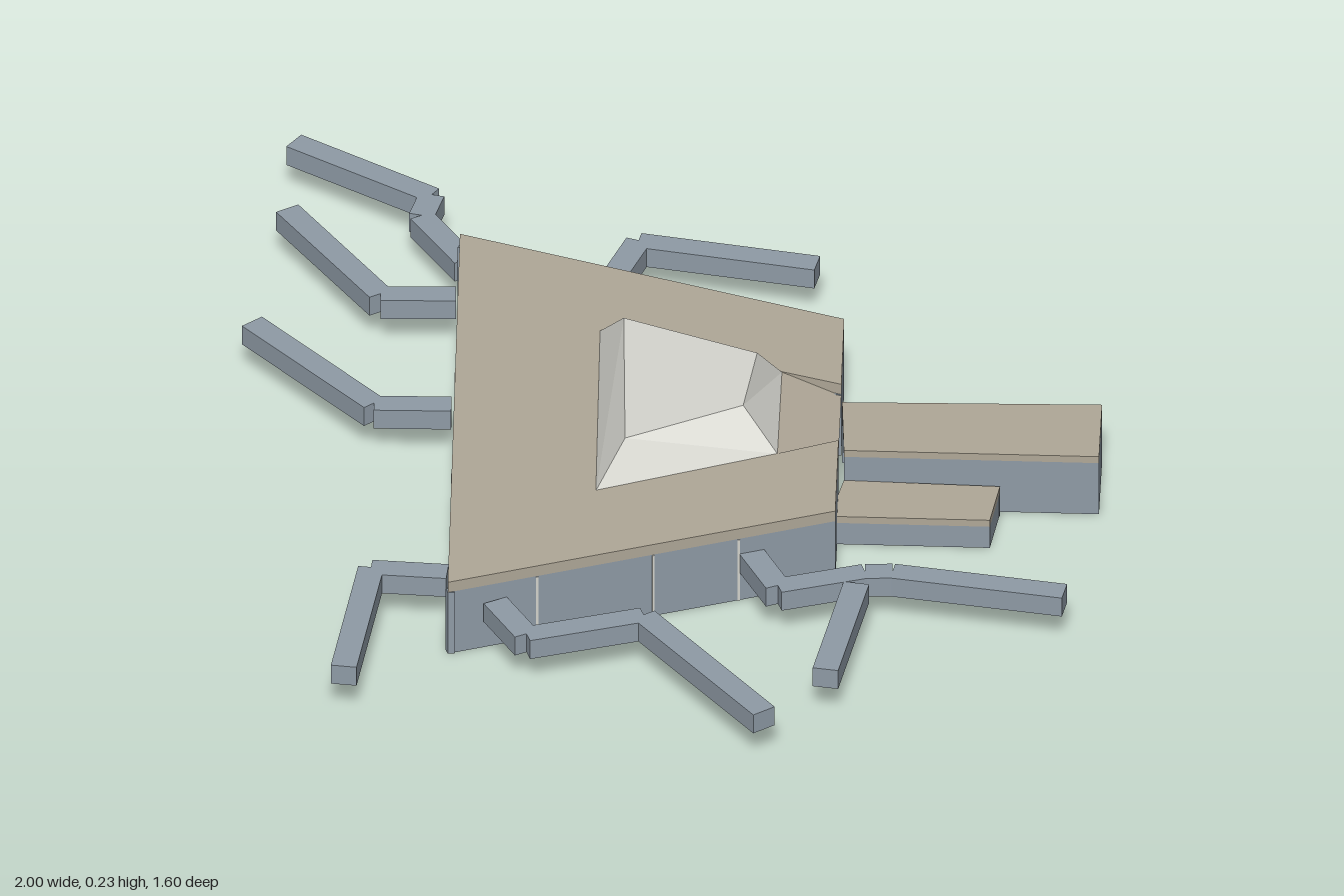
import * as THREE from 'three';

const mat = (name, color) => new THREE.MeshStandardMaterial({ name, color, flatShading: true });

export function createModel() {
  const model = new THREE.Group();
  const roofTan = mat('roofTan', 0xb0a898);
  const wallBlue = mat('wallBlueGrey', 0x8f9ba6);
  const pale = mat('paleGlass', 0xd6d6cf);
  pale.side = THREE.DoubleSide;
  roofTan.side = THREE.DoubleSide;

  const add = (name, geo, material, parent = model) => {
    const mesh = new THREE.Mesh(geo, material);
    mesh.name = name;
    parent.add(mesh);
    return mesh;
  };

  // upright box between two plan points [x, z], shifted sideways by offset
  const bar = (name, a, b, y0, y1, width, offset, material, parent) => {
    const dx = b[0] - a[0], dz = b[1] - a[1], len = Math.hypot(dx, dz);
    const mesh = add(name, new THREE.BoxGeometry(len, y1 - y0, width), material, parent);
    mesh.position.set((a[0] + b[0]) / 2 - dz / len * offset, (y0 + y1) / 2, (a[1] + b[1]) / 2 + dx / len * offset);
    mesh.rotation.y = -Math.atan2(dz, dx);
    return mesh;
  };

  // flat slab from a plan outline
  const slab = (name, pts, top, depth, material) => {
    const shape = new THREE.Shape(pts.map(p => new THREE.Vector2(p[0], p[1])));
    const geo = new THREE.ExtrudeGeometry(shape, { depth, bevelEnabled: false });
    geo.rotateX(Math.PI / 2).translate(0, top, 0);
    return add(name, geo, material);
  };
  const lerp = (a, b, t) => [a[0] + (b[0] - a[0]) * t, a[1] + (b[1] - a[1]) * t];

  // main hall corners, clockwise from above
  const A = [-0.53, -0.41], B = [0.195, -0.595], C = [0.55, -0.08], D = [0.12, 0.52];
  const N1 = [0.316, -0.42], N2 = [0.419, -0.27];
  const base = [[-0.14, -0.305], [0.205, -0.39], [0.355, -0.17], [0.16, 0.12]];
  const crown = [[-0.065, -0.275], [0.197, -0.325], [0.277, -0.172], [0.167, 0.04]];

  // roof ring, open at the entrance and under the skylight
  slab('mainRoof', [A, B, N1, base[1], base[0], base[3], base[2], N2, C, D], 0.155, 0.022, roofTan);

  // hollow hall: outer walls and courtyard walls
  for (const [a, b] of [[A, B], [B, N1], [N2, C], [C, D], [D, A]])
    bar('outerWall', a, b, 0, 0.133, 0.012, 0.006, wallBlue);
  for (const [a, b] of [[base[0], base[1]], [base[2], base[3]], [base[3], base[0]]])
    bar('courtyardWall', a, b, 0, 0.133, 0.012, -0.006, wallBlue);

  // narrow pale joints in the long walls
  const joints = [[D, A, [0.34, 0.63]], [D, C, [0.23, 0.53, 0.75]]];
  for (const [a, b, ts] of joints)
    for (const t of ts) bar('wallJoint', lerp(a, b, t - 0.003), lerp(a, b, t + 0.003), 0, 0.132, 0.004, 0, pale);

  // quad strip surfaces
  const quad = (name, corners, material) => {
    const geo = new THREE.BufferGeometry();
    geo.setAttribute('position', new THREE.Float32BufferAttribute(corners.flat(), 3));
    geo.setIndex([0, 2, 1, 0, 3, 2]);
    geo.computeVertexNormals();
    return add(name, geo, material);
  };
  const at = (p, y) => [p[0], y, p[1]];

  // skylight: sloping panes and flat crown
  for (let i = 0; i < 4; i++) {
    const j = (i + 1) % 4;
    quad('skylightPane', [at(base[i], 0.154), at(crown[i], 0.228), at(crown[j], 0.228), at(base[j], 0.154)], pale);
  }
  quad('skylightCrown', crown.map(p => at(p, 0.228)), pale);

  // sloping entrance roof between skylight and long wing
  quad('entranceRoof', [at(base[1], 0.154), at(N1, 0.13), at(N2, 0.13), at(base[2], 0.154)], roofTan);

  // two hollow side wings, open toward the hall
  const wings = [
    ['longWing', [[0.325, -0.41], [0.71, -0.68], [0.805, -0.54], [0.42, -0.285]], 0.125],
    ['shortWing', [[0.42, -0.285], [0.66, -0.435], [0.71, -0.335], [0.468, -0.175]], 0.06],
  ];
  for (const [name, p, top] of wings) {
    slab(name + 'Roof', p, top, 0.014, roofTan);
    for (let i = 0; i < 3; i++) bar(name + 'Wall', p[i], p[i + 1], 0, top - 0.014, 0.01, 0.005, wallBlue);
  }

  // jointed walkways radiating from the hall
  const walkways = [
    [[0, -0.78], [-0.305, -0.65], [-0.26, -0.48]],
    [[-1, -0.545], [-0.695, -0.55], [-0.67, -0.485], [-0.52, -0.415]],
    [[-0.88, -0.36], [-0.58, -0.235], [-0.47, -0.315]],
    [[-0.715, -0.025], [-0.38, 0.06], [-0.265, -0.02]],
    [[0.08, 0.785], [-0.07, 0.495], [0.05, 0.425]],
    [[0.78, 0.455], [0.42, 0.33], [0.285, 0.505], [0.175, 0.45]],
    [[0.79, 0.28], [0.67, 0.02]],
    [[0.99, -0.18], [0.70, -0.05], [0.66, -0.02], [0.56, 0.11], [0.45, 0.045]],
  ];
  walkways.forEach((path, k) => {
    const group = new THREE.Group();
    group.name = 'walkway' + (k + 1);
    for (let i = 0; i < path.length - 1; i++)
      bar('walkwaySegment', path[i], path[i + 1], 0.06, 0.1, 0.047, 0, wallBlue, group);
    model.add(group);
  });

  return model;
}
